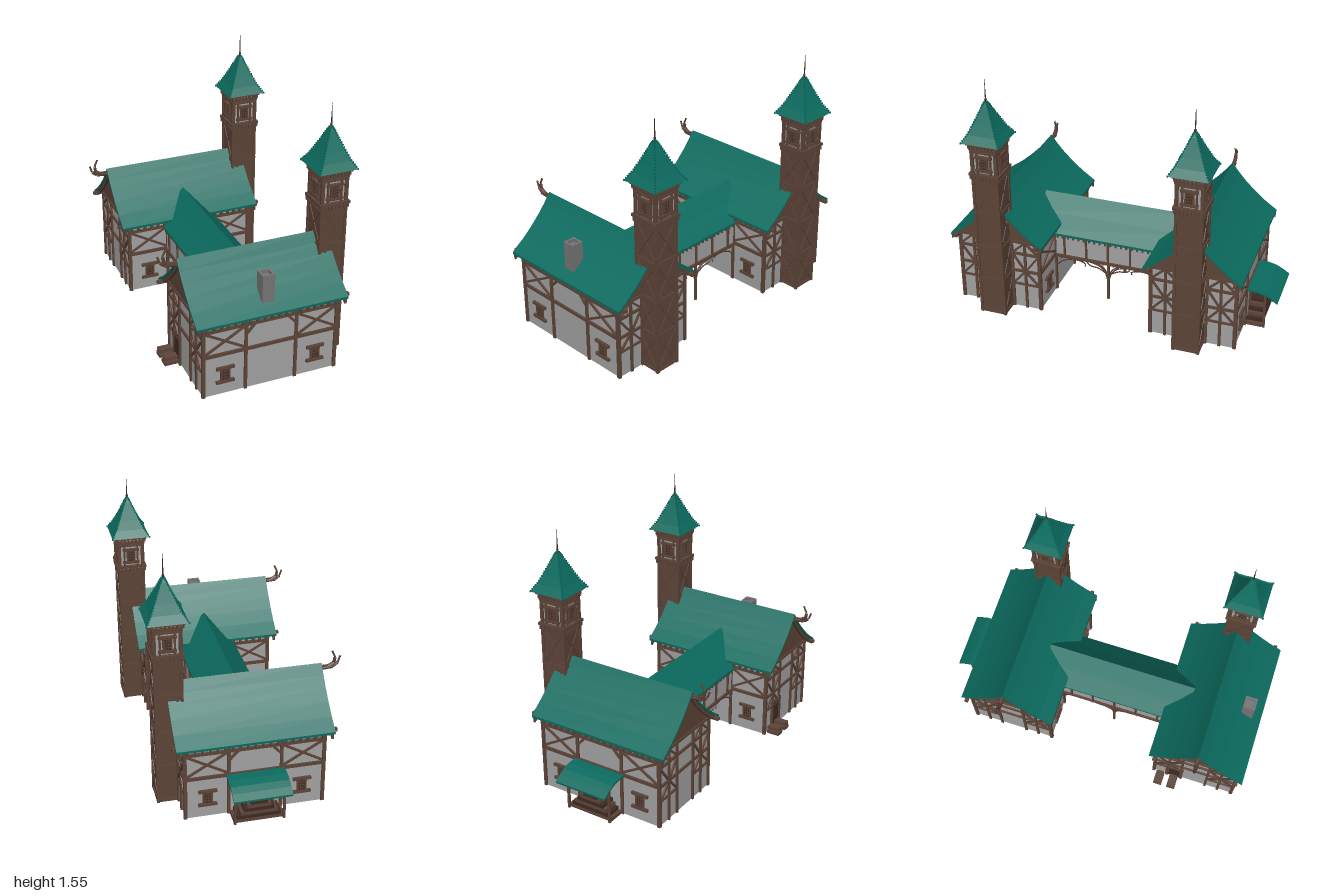
import * as THREE from 'three';

const mat = (name, color) => {
  const m = new THREE.MeshStandardMaterial({ color });
  m.name = name;
  return m;
};
const TEAL = mat('teal roof', 0x0b6b5f);
const WOOD = mat('timber', 0x5d4438);
const DARK = mat('dark wood', 0x3e2a22);
const WALL = mat('plaster', 0xa2a2a2);
const STONE = mat('chimney stone', 0x757575);

function add(parent, name, geo, m, x = 0, y = 0, z = 0) {
  const mesh = new THREE.Mesh(geo, m);
  mesh.name = name;
  mesh.position.set(x, y, z);
  parent.add(mesh);
  return mesh;
}
const box = (p, name, m, w, h, d, x, y, z) => add(p, name, new THREE.BoxGeometry(w, h, d), m, x, y, z);

function group(parent, name, x = 0, y = 0, z = 0, ry = 0) {
  const g = new THREE.Group();
  g.name = name;
  g.position.set(x, y, z);
  g.rotation.y = ry;
  parent.add(g);
  return g;
}

// Beam lying on a panel, running between two points in its plane
function beam(p, x1, y1, x2, y2, w = 0.018, d = 0.022) {
  const b = box(p, 'beam', WOOD, Math.hypot(x2 - x1, y2 - y1), w, d, (x1 + x2) / 2, (y1 + y2) / 2, 0);
  b.rotation.z = Math.atan2(y2 - y1, x2 - x1);
}

function tube(p, name, pts, r, m = WOOD) {
  const curve = new THREE.CatmullRomCurve3(pts.map(a => new THREE.Vector3(...a)));
  return add(p, name, new THREE.TubeGeometry(curve, 14, r, 5), m);
}

// Bent slab following half a roof profile, mirrored and extruded along its length
function roofSlab(half, thick, length, drop = 0) {
  const top = [...half.slice(1).reverse().map(([u, y]) => [-u, y]), ...half];
  const pts = [...top.map(([u, y]) => [u, y - drop]), ...top.reverse().map(([u, y]) => [u, y - drop - thick])];
  const s = new THREE.Shape(pts.map(([u, y]) => new THREE.Vector2(u, y)));
  return new THREE.ExtrudeGeometry(s, { depth: length, bevelEnabled: false }).translate(0, 0, -length / 2);
}

// Latticed window with long sill and lintel
function windowUnit(p, x, y, s = 1) {
  const g = group(p, 'window', x, y, 0);
  g.scale.set(s, s, 1);
  box(g, 'pane', DARK, 0.042, 0.08, 0.008, 0, 0, 0.004);
  for (const k of [-1, 1]) {
    beam(g, -0.055, k * 0.045, 0.055, k * 0.045, 0.017, 0.032);
    beam(g, k * 0.024, -0.04, k * 0.024, 0.04, 0.01, 0.026);
    beam(g, k * 0.007, -0.04, k * 0.007, 0.04, 0.004, 0.02);
  }
  for (let i = -1; i <= 1; i++) beam(g, -0.021, i * 0.02, 0.021, i * 0.02, 0.004, 0.02);
}

function door(p, x) {
  box(p, 'door', DARK, 0.09, 0.18, 0.008, x, 0.1, 0.005);
  for (const k of [-1, 1]) beam(p, x + k * 0.05, 0, x + k * 0.05, 0.2, 0.014, 0.028);
  beam(p, x - 0.06, 0.195, x + 0.06, 0.195, 0.014, 0.028);
}

// Timber framing of a long wall
function longPanel(p) {
  for (const x of [-0.41, -0.155, 0.155, 0.41]) beam(p, x, 0, x, 0.475);
  beam(p, -0.42, 0.268, 0.42, 0.268, 0.02);
  beam(p, -0.42, 0.428, 0.42, 0.428);
  for (const k of [-1, 1]) {
    beam(p, k * 0.165, 0.285, k * 0.4, 0.42, 0.012);
    beam(p, k * 0.165, 0.42, k * 0.4, 0.285, 0.012);
    beam(p, k * 0.15, 0.37, k * 0.1, 0.425, 0.014);
    windowUnit(p, k * 0.28, 0.13);
  }
  for (let i = 0; i < 19; i++) box(p, 'eave bracket', WOOD, 0.013, 0.034, 0.03, -0.396 + i * 0.044, 0.452, 0.008);
}

// Timber framing of a gable wall
function gablePanel(p) {
  for (const y of [0.267, 0.39, 0.472]) beam(p, -0.27, y, 0.27, y, 0.016);
  for (const k of [-1, 1]) {
    for (const u of [0.262, 0.17, 0.085]) beam(p, k * u, 0, k * u, 0.47, 0.016);
    beam(p, k * 0.25, 0.4, k * 0.18, 0.465, 0.012);
    beam(p, k * 0.16, 0.46, k * 0.095, 0.4, 0.012);
    beam(p, k * 0.25, 0.375, k * 0.18, 0.28, 0.012);
    beam(p, k * 0.16, 0.28, k * 0.095, 0.375, 0.012);
    beam(p, k * 0.255, 0.17, k * 0.09, 0.17, 0.012);
    beam(p, k * 0.25, 0.18, k * 0.18, 0.255, 0.012);
    beam(p, k * 0.16, 0.255, k * 0.095, 0.18, 0.012);
  }
}

function tower(parent) {
  const t = group(parent, 'tower', 0.457, 0, 0.005);
  box(t, 'shaft', WOOD, 0.156, 0.95, 0.156, 0, 0.475, 0);
  box(t, 'lookout room', WALL, 0.148, 0.2, 0.148, 0, 1.05, 0);
  for (const y of [0.015, 0.25, 0.48, 0.715]) box(t, 'band', WOOD, 0.17, 0.016, 0.17, 0, y, 0);
  box(t, 'room floor', WOOD, 0.19, 0.016, 0.19, 0, 0.972, 0);
  box(t, 'corbel', WOOD, 0.17, 0.025, 0.17, 0, 0.94, 0);
  box(t, 'cornice', WOOD, 0.175, 0.02, 0.175, 0, 1.135, 0);
  box(t, 'roof plate', WOOD, 0.2, 0.02, 0.2, 0, 1.172, 0);
  for (let f = 0; f < 4; f++) {
    const face = group(t, 'tower face', 0, 0, 0, f * Math.PI / 2);
    const shaft = group(face, 'shaft bracing', 0, 0, 0.078);
    for (const k of [-1, 1]) beam(shaft, k * 0.076, 0, k * 0.076, 0.94, 0.016, 0.014);
    for (let i = 0; i < 4; i++) {
      const y = 0.02 + i * 0.234;
      beam(shaft, -0.07, y, 0.07, y + 0.22, 0.012, 0.01);
      beam(shaft, 0.07, y, -0.07, y + 0.22, 0.012, 0.01);
    }
    const room = group(face, 'room framing', 0, 0, 0.075);
    for (const k of [-1, 1]) {
      beam(room, k * 0.074, 0.97, k * 0.074, 1.14, 0.018);
      beam(room, k * 0.042, 0.97, k * 0.042, 1.13, 0.01);
    }
    beam(room, -0.07, 1.115, 0.07, 1.115, 0.01);
    windowUnit(room, 0, 1.045, 0.95);
    for (let i = 0; i < 8; i++) {
      const x = -0.081 + i * 0.0231;
      box(face, 'dentil', WOOD, 0.01, 0.026, 0.022, x, 0.952, 0.083);
      box(face, 'dentil', WOOD, 0.01, 0.03, 0.024, x, 1.153, 0.084);
    }
  }
  // Swept four-sided roof with beaded hips
  const prof = [[0.118, 1.178], [0.088, 1.225], [0.062, 1.28], [0.038, 1.335], [0.017, 1.385], [0.003, 1.412]];
  const pts = [[0, 1.178], ...prof].map(([r, y]) => new THREE.Vector2(r * Math.SQRT2, y));
  const roof = new THREE.LatheGeometry(pts, 4).rotateY(Math.PI / 4).toNonIndexed();
  roof.computeVertexNormals();
  add(t, 'tower roof', roof, TEAL);
  const bead = new THREE.BoxGeometry(0.008, 0.01, 0.008);
  for (const sx of [-1, 1]) for (const sz of [-1, 1])
    for (let i = 0; i < 5; i++) for (let j = 0; j < 4; j++) {
      const [r, y] = prof[i].map((v, n) => v + (prof[i + 1][n] - v) * j / 4);
      add(t, 'hip bead', bead, TEAL, sx * r, y + 0.003, sz * r);
    }
  add(t, 'spire', new THREE.CylinderGeometry(0.001, 0.005, 0.15, 6), DARK, 0, 1.475, 0);
  add(t, 'spire collar', new THREE.SphereGeometry(0.008, 6, 4), DARK, 0, 1.425, 0);
}

const HOUSE_ROOF = [[0, 0.772], [0.045, 0.712], [0.09, 0.66], [0.15, 0.6], [0.22, 0.54], [0.3, 0.483]];

function house(parent, name, z) {
  const h = group(parent, name, 0, 0, z);
  box(h, 'walls', WALL, 0.82, 0.475, 0.524, 0, 0.2375, 0);
  longPanel(group(h, 'front framing', 0, 0, 0.262));
  longPanel(group(h, 'back framing', 0, 0, -0.262, Math.PI));
  for (const k of [-1, 1]) {
    gablePanel(group(h, 'gable framing', k * 0.41, 0, 0, k * Math.PI / 2));
    box(h, 'wall plate', WOOD, 0.965, 0.018, 0.022, 0, 0.478, k * 0.262);
    add(h, 'bargeboard', roofSlab(HOUSE_ROOF, 0.032, 0.015, 0.012).rotateY(Math.PI / 2), WOOD, k * 0.445);
  }
  add(h, 'roof', roofSlab(HOUSE_ROOF, 0.016, 0.924).rotateY(Math.PI / 2), TEAL);
  // Boarded gables filling the space under the roof
  const fill = HOUSE_ROOF.slice(0, 5).concat([[0.27, 0.495]]);
  const s = new THREE.Shape([...fill, ...fill.slice(1).reverse().map(([u, y]) => [-u, y])]
    .map(([u, y]) => new THREE.Vector2(u, y - 0.014)));
  add(h, 'gable boards', new THREE.ExtrudeGeometry(s, { depth: 0.83, bevelEnabled: false })
    .translate(0, 0, -0.415).rotateY(Math.PI / 2), WOOD);
  // Curved horns on the ridge end
  box(h, 'ridge beam', WOOD, 0.1, 0.024, 0.014, -0.45, 0.742, 0);
  const horns = [
    [[-0.47, 0.738], [-0.53, 0.742], [-0.56, 0.765], [-0.575, 0.808]],
    [[-0.5, 0.742], [-0.536, 0.762], [-0.543, 0.8], [-0.522, 0.845]],
  ];
  for (const path of horns) for (let i = 0; i < 3; i++)
    tube(h, 'horn', [0, 0.5, 1].map(f => [0, 1].map(n => path[i][n] + (path[i + 1][n] - path[i][n]) * f).concat(0)),
      [0.013, 0.01, 0.006][i]);
  tower(h);
  return h;
}

function bridge(parent) {
  const b = group(parent, 'bridge', 0, 0, 0.08);
  box(b, 'bridge walls', WALL, 0.32, 0.16, 0.72, 0, 0.35, 0);
  box(b, 'bridge floor', WOOD, 0.345, 0.018, 0.72, 0, 0.262, 0);
  const prof = [[0, 0.62], [0.09, 0.523], [0.182, 0.43]];
  add(b, 'bridge roof', roofSlab(prof, 0.016, 0.945), TEAL);
  const under = new THREE.Shape([[-0.165, 0.425], [0.165, 0.425], [0, 0.6]].map(a => new THREE.Vector2(...a)));
  add(b, 'bridge attic', new THREE.ExtrudeGeometry(under, { depth: 0.72, bevelEnabled: false }).translate(0, 0, -0.36), WOOD);
  for (let i = 0; i < 10; i++) box(b, 'joist', DARK, 0.33, 0.012, 0.012, 0, 0.249, -0.315 + i * 0.07);
  for (const k of [-1, 1]) {
    const side = group(b, 'bridge side', k * 0.16, 0, 0, k * Math.PI / 2);
    for (let i = -2; i <= 2; i++) beam(side, i * 0.145, 0.27, i * 0.145, 0.43, 0.012);
    beam(side, -0.36, 0.42, 0.36, 0.42, 0.016);
    for (let i = 0; i < 20; i++) box(side, 'dentil', WOOD, 0.009, 0.026, 0.018, -0.333 + i * 0.035, 0.408, 0.007);
    beam(side, 0, 0, 0, 0.26, 0.014, 0.014);
    // Arched braces with curled tips
    for (const m of [-1, 1]) {
      const arc = pts => tube(side, 'arched brace', pts.map(([u, y]) => [m * u, y, 0]), 0.0045);
      arc([[0.345, 0.185], [0.31, 0.22], [0.25, 0.243], [0.19, 0.243], [0.15, 0.225], [0.155, 0.212]]);
      arc([[0.005, 0.14], [0.02, 0.19], [0.06, 0.232], [0.13, 0.25]]);
      arc([[0.005, 0.175], [0.03, 0.222], [0.075, 0.25]]);
      arc([[0.02, 0.19], [0.07, 0.215], [0.12, 0.222], [0.145, 0.245]]);
    }
  }
}

function porch(parent) {
  const p = group(parent, 'porch');
  const top = [[-0.8, 0.272], [-0.87, 0.27], [-0.92, 0.258], [-0.96, 0.238], [-1.0, 0.212]];
  const s = new THREE.Shape([...top, ...[...top].reverse().map(([z, y]) => [z, y - 0.012])].map(([z, y]) => new THREE.Vector2(-z, y)));
  add(p, 'porch roof', new THREE.ExtrudeGeometry(s, { depth: 0.345, bevelEnabled: false })
    .translate(0, 0, -0.1725).rotateY(Math.PI / 2), TEAL);
  for (const k of [-1, 1]) {
    box(p, 'porch post', WOOD, 0.014, 0.245, 0.014, k * 0.145, 0.1225, -0.92);
    box(p, 'porch rafter', WOOD, 0.014, 0.014, 0.13, k * 0.145, 0.25, -0.86);
  }
  box(p, 'porch beam', WOOD, 0.32, 0.014, 0.014, 0, 0.24, -0.92);
  // Steps climbing from both sides to the landing
  for (let i = 0; i < 6; i++) box(p, 'step', i % 2 ? DARK : WOOD, 0.3 - i * 0.04, 0.022, 0.1, 0, 0.011 + i * 0.0225, -0.86);
}

export function createModel() {
  const model = new THREE.Group();
  model.name = 'timberHouses';
  const front = house(model, 'frontHouse', 0.7);
  const back = house(model, 'backHouse', -0.54);
  bridge(model);
  porch(model);
  // Doors
  door(group(back, 'porch door', 0, 0.05, -0.262, Math.PI), 0);
  door(group(front, 'side door', -0.41, 0, 0, -Math.PI / 2), -0.128);
  // Side door steps
  for (const z of [0.485, 0.575]) {
    box(model, 'lower step', WOOD, 0.085, 0.022, 0.055, -0.462, 0.014, z);
    box(model, 'upper step', WOOD, 0.08, 0.02, 0.045, -0.462, 0.042, z);
  }
  // Chimney with a hollow top
  const c = group(model, 'chimney', -0.012, 0, 0.905);
  box(c, 'chimney core', STONE, 0.05, 0.15, 0.05, 0, 0.6, 0);
  for (const k of [-1, 1]) {
    box(c, 'chimney side', STONE, 0.012, 0.18, 0.075, k * 0.0315, 0.605, 0);
    box(c, 'chimney side', STONE, 0.052, 0.18, 0.012, 0, 0.605, k * 0.0315);
  }
  return model;
}
